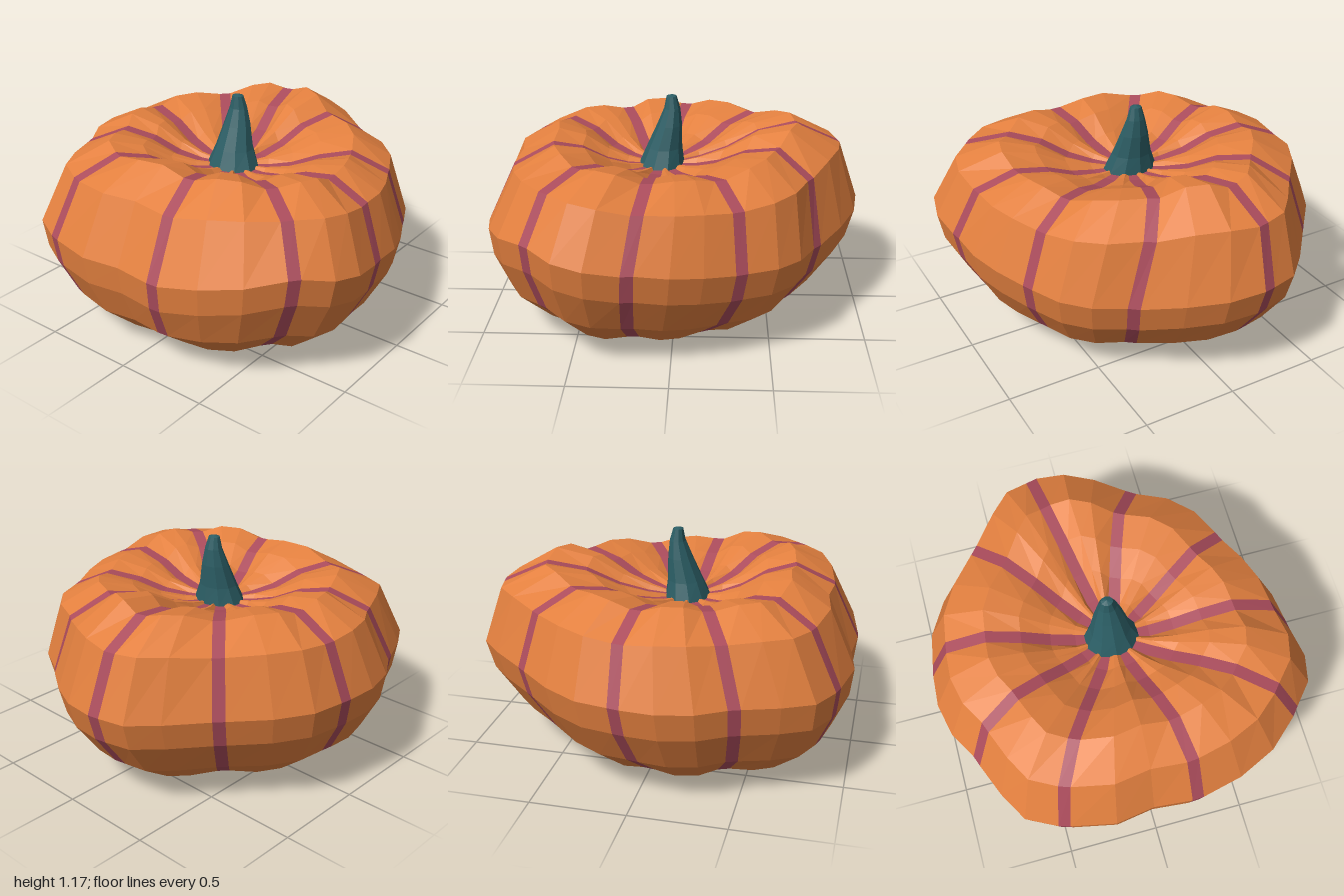
import * as THREE from 'three';

// Widest outline seen from above as x, z pairs: each rib gives two valley
// points (the stripe edges) followed by two points on its swelling.
const OUTLINE = [
  0.03, -0.99, 0.09, -0.98, 0.26, -0.95, 0.44, -0.845,
  0.61, -0.695, 0.66, -0.65, 0.84, -0.49, 0.96, -0.36,
  0.99, -0.22, 1.0, -0.165, 0.97, 0.02, 0.88, 0.21,
  0.755, 0.40, 0.72, 0.44, 0.64, 0.60, 0.52, 0.72,
  0.365, 0.795, 0.325, 0.81, 0.165, 0.89, 0, 0.945,
  -0.17, 0.96, -0.22, 0.97, -0.40, 0.99, -0.555, 0.95,
  -0.68, 0.84, -0.715, 0.81, -0.85, 0.66, -0.94, 0.46,
  -0.985, 0.245, -0.99, 0.175, -0.97, -0.03, -1.0, -0.24,
  -0.95, -0.475, -0.935, -0.53, -0.855, -0.69, -0.70, -0.78,
  -0.52, -0.855, -0.465, -0.875, -0.32, -0.96, -0.14, -1.0,
];
const RIB_TOP = [0.96, 0.985, 1.01, 0.925, 0.905, 0.96, 0.98, 0.97, 0.95, 0.96];
// Rise or drop of the waist at each valley
const WAIST = [0, 0, -0.01, -0.07, -0.05, 0.01, 0.09, -0.02, -0.02, 0];
// Angle by which each valley swings aside on the upper rings
const SWING = [-0.02, -0.04, -0.08, -0.16, 0, 0, 0.04, -0.04, 0.03, 0.02];
const RIBS = RIB_TOP.length;
const CX = -0.08, CZ = -0.01, HALF_STRIPE = 0.031;

// Profile from the top hollow to the base: [fraction of outline, height,
// valley offset, influence of rib top, of waist, of swing, shift in x]
const PROFILE = [
  [0, 0.79, 0, 0, 0, 1, 0],
  [0.10, 0.795, -0.01, 0, 0, 1, 0],
  [0.20, 0.82, -0.02, 0.2, 0, 1, 0],
  [0.33, 0.87, -0.025, 0.5, 0, 1, 0.01],
  [0.48, 0.96, -0.03, 0.9, 0, 1, 0.02],
  [0.66, 1.0, -0.03, 1, 0, 0.9, 0.035],
  [0.88, 0.875, -0.012, 0.6, 0.4, 0.5, 0.03],
  [1.0, 0.56, 0, 0, 1, 0, 0],
  [0.97, 0.41, 0, 0, 1, 0, -0.01],
  [0.86, 0.21, 0.005, 0, 0.65, 0, -0.03],
  [0.67, 0.052, 0.018, 0, 0.35, 0, -0.04],
  [0.43, 0.005, 0.027, 0, 0.1, 0, -0.035],
  [0.2, 0.03, 0.015, 0, 0, 0, -0.03],
  [0.08, 0.055, 0, 0, 0, 0, -0.02],
  [0, 0.06, 0, 0, 0, 0, -0.02],
];

const outline = Array.from({ length: RIBS * 4 }, (_, j) => {
  const x = OUTLINE[j * 2] - CX, z = OUTLINE[j * 2 + 1] - CZ;
  return { a: Math.atan2(z, x), r: Math.hypot(x, z) };
});
for (let j = 1; j < outline.length; j++) {
  while (outline[j].a < outline[j - 1].a) outline[j].a += Math.PI * 2;
}

// Centre angle of the stripe before a rib
function stripeAngle(rib, swing) {
  const k = rib % RIBS, turn = rib >= RIBS ? Math.PI * 2 : 0;
  return (outline[k * 4].a + outline[k * 4 + 1].a) / 2 + SWING[k] * swing + turn;
}

function bodyPoint([f, y, groove, topInfluence, waistInfluence, swing, shift], j) {
  const rib = Math.floor(j / 4), part = j % 4, valley = part < 2;
  const next = (rib + 1) % RIBS, previous = (rib + RIBS - 1) % RIBS;
  const r = outline[j].r * f;
  // stripes keep an even width until they crowd together at the centre
  const half = Math.min(0.19, HALF_STRIPE / Math.max(r, 0.001));
  const from = stripeAngle(rib, swing) + half, to = stripeAngle(rib + 1, swing) - half;
  const a0 = outline[rib * 4 + 1].a;
  const a1 = rib + 1 < RIBS ? outline[rib * 4 + 4].a : outline[0].a + Math.PI * 2;
  const t = valley ? 0 : (outline[j].a - a0) / (a1 - a0);
  const angle = part === 0 ? from - 2 * half : from + (to - from) * t;
  // each swelling leans a little towards the height of the rib beside it
  const neighbour = RIB_TOP[part === 3 ? next : previous];
  const top = THREE.MathUtils.lerp(RIB_TOP[rib], neighbour, valley ? 0.5 : 0.15);
  const waist = THREE.MathUtils.lerp(WAIST[rib], WAIST[next], t);
  const height = y + (top - 1) * topInfluence + waist * waistInfluence + (valley ? groove : 0);
  return [CX + shift + Math.cos(angle) * r, height, CZ + Math.sin(angle) * r];
}

function makeGeometry(positions) {
  const g = new THREE.BufferGeometry();
  g.setAttribute('position', new THREE.Float32BufferAttribute(positions, 3));
  g.computeVertexNormals();
  return g;
}

// Adds the faces between two rings, dropping triangles that collapse at a pole
function addQuad(list, a, b, c, d, topPole, bottomPole) {
  if (!topPole) list.push(...a, ...b, ...c);
  if (!bottomPole) list.push(...a, ...c, ...d);
}

export function createModel() {
  const model = new THREE.Group();
  const material = (name, color) => {
    const m = new THREE.MeshStandardMaterial({ color, flatShading: true });
    m.name = name;
    return m;
  };
  const add = (name, geometry, mat) => {
    const mesh = new THREE.Mesh(geometry, mat);
    mesh.name = name;
    model.add(mesh);
  };

  // Ribbed body and the stripes along its valleys, which meet under the base
  const skin = [], stripes = [];
  const n = RIBS * 4;
  const rings = PROFILE.map((row) => outline.map((_, j) => bodyPoint(row, j)));
  for (let i = 0; i + 1 < rings.length; i++) {
    const last = i + 2 === rings.length;
    for (let j = 0; j < n; j++) {
      const k = (j + 1) % n;
      // at the bottom pole the far corners coincide, so one triangle is enough
      addQuad(j % 4 === 0 || last ? stripes : skin,
        rings[i][j], rings[i][k], rings[i + 1][k], rings[i + 1][j], i === 0, last);
    }
  }
  add('ribbedBody', makeGeometry(skin), material('orange skin', 0xe3803f));
  add('valleyStripes', makeGeometry(stripes), material('plum stripe', 0xab4c5c));

  // Bent, tapering stem: [centre x, y, centre z, radius x, radius z]
  const stem = [
    [-0.08, 0.785, -0.015, 0.122, 0.148],
    [-0.065, 0.88, -0.018, 0.095, 0.108],
    [-0.038, 1.0, -0.02, 0.067, 0.077],
    [-0.024, 1.09, -0.022, 0.043, 0.05],
    [-0.027, 1.155, -0.024, 0.027, 0.031],
    [-0.025, 1.165, -0.025, 0, 0],
  ];
  const SIDES = 10, stemFaces = [];
  const stemPoint = ([x, y, z, rx, rz], s) => {
    const a = (s % SIDES) / SIDES * Math.PI * 2;
    return [x + Math.cos(a) * rx, y, z + Math.sin(a) * rz];
  };
  for (let i = stem.length - 1; i > 0; i--) {
    for (let s = 0; s < SIDES; s++) {
      addQuad(stemFaces, stemPoint(stem[i], s), stemPoint(stem[i], s + 1),
        stemPoint(stem[i - 1], s + 1), stemPoint(stem[i - 1], s), i === stem.length - 1, false);
    }
  }
  add('stem', makeGeometry(stemFaces), material('teal stem', 0x2b5d64));

  return model;
}
